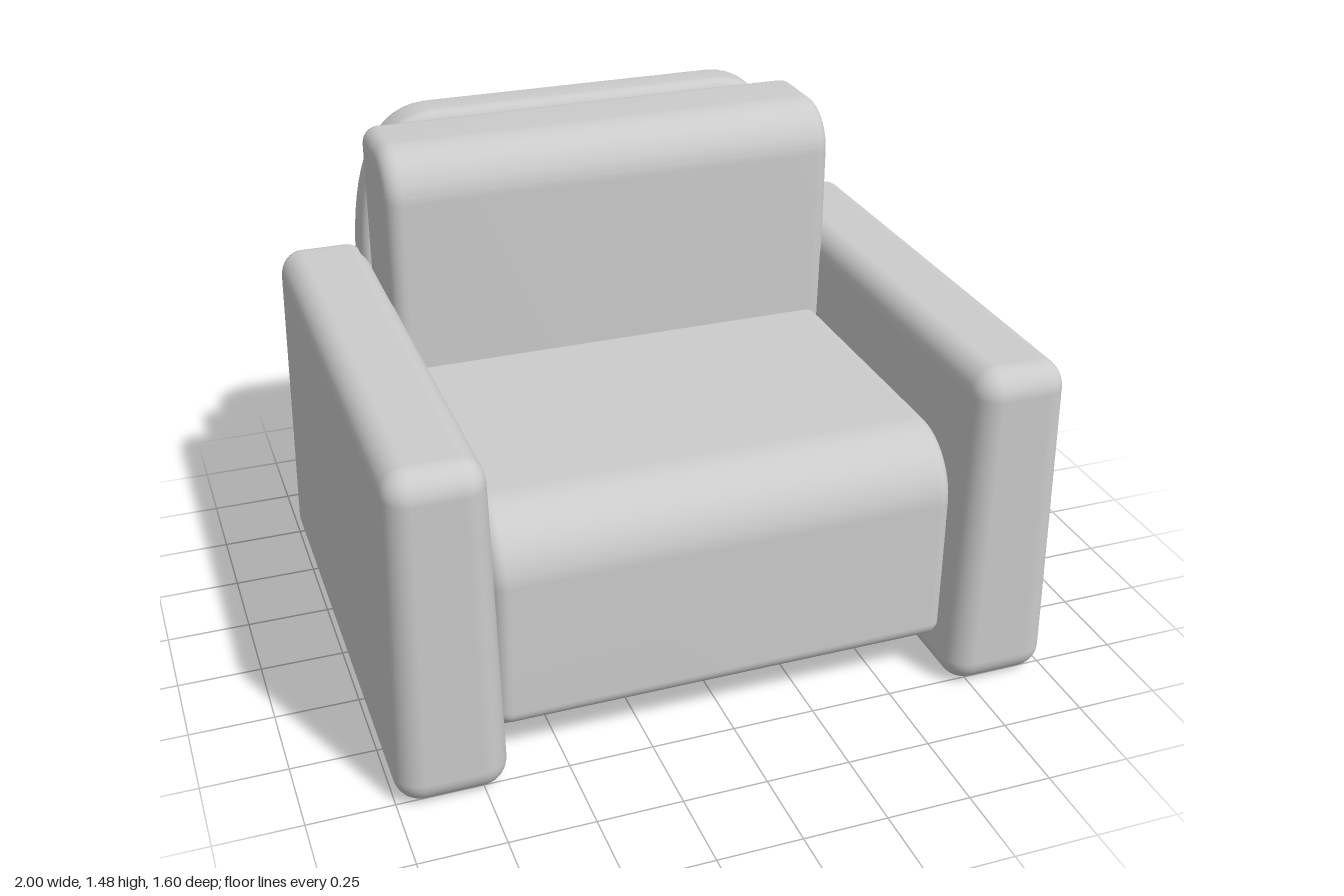
import * as THREE from 'three';
import { toCreasedNormals } from 'three/addons/utils/BufferGeometryUtils.js';
import { RoundedBoxGeometry } from 'three/addons/geometries/RoundedBoxGeometry.js';

const material = new THREE.MeshStandardMaterial({ color: 0xcccccc, side: THREE.DoubleSide });

function addMesh(group, name, geometry) {
  const mesh = new THREE.Mesh(geometry, material);
  mesh.name = name;
  group.add(mesh);
  return mesh;
}

// Extrudes an outline with soft edges, keeping its outer size; centred on z = 0
function softExtrude(shape, thickness, edge) {
  const geometry = new THREE.ExtrudeGeometry(shape, {
    depth: thickness - 2 * edge, curveSegments: 14,
    bevelThickness: edge, bevelSize: edge, bevelOffset: -edge, bevelSegments: 6,
  });
  geometry.translate(0, 0, edge - thickness / 2);
  return toCreasedNormals(geometry, 0.6);
}

// Arm: rounded box that narrows towards the top
function armGeometry() {
  const height = 1.04;
  const geometry = new RoundedBoxGeometry(0.325, height, 1.6, 6, 0.08);
  const p = geometry.attributes.position;
  for (let i = 0; i < p.count; i++) {
    const t = p.getY(i) / height + 0.5;
    p.setX(i, p.getX(i) * (1 - 0.15 * t));
  }
  return geometry.translate(0, height / 2, 0);
}

// Seat: a cover draped over the front, with its side edges rolled in
function seatGeometry() {
  const path = new THREE.Path();
  path.moveTo(-0.66, 0.79);
  path.lineTo(0.5, 0.79);
  path.absarc(0.5, 0.59, 0.2, Math.PI / 2, 0, true);
  path.lineTo(0.7, 0.18);
  path.absarc(0.65, 0.18, 0.05, 0, -Math.PI / 2, true);
  path.lineTo(0.625, 0.13);
  const points = path.getPoints(14).filter((p, i, a) => i === 0 || p.distanceTo(a[i - 1]) > 1e-5);

  // Cross-section: x and depth below the surface
  const section = [];
  const half = 0.69, roll = 0.045, steps = 6;
  for (const side of [-1, 1]) {
    for (let k = 0; k <= steps; k++) {
      const a = (side < 0 ? k : steps - k) / steps * Math.PI / 2;
      section.push([side * (half - roll + roll * Math.cos(a)), roll * (1 - Math.sin(a))]);
    }
  }

  const positions = [], index = [], n = section.length;
  points.forEach((p, i) => {
    const a = points[Math.max(i - 1, 0)], b = points[Math.min(i + 1, points.length - 1)];
    const tangent = b.clone().sub(a).normalize();
    for (const [x, depth] of section) {
      positions.push(x, p.y - tangent.x * depth, p.x + tangent.y * depth);
    }
    if (i === 0) return;
    for (let j = 0; j < n - 1; j++) {
      const u = (i - 1) * n + j, v = i * n + j;
      index.push(u, v, u + 1, v, v + 1, u + 1);
    }
  });
  const geometry = new THREE.BufferGeometry();
  geometry.setAttribute('position', new THREE.Float32BufferAttribute(positions, 3));
  geometry.setIndex(index);
  geometry.computeVertexNormals();
  return geometry;
}

// Back cushion: side profile (z, y) with a generous front top curve
function backCushionGeometry() {
  const front = -0.28, back = -0.637, top = 1.475, bottom = 0.74;
  const s = new THREE.Shape();
  s.moveTo(back, bottom);
  s.lineTo(front, bottom);
  s.lineTo(front, top - 0.15);
  s.absarc(front - 0.15, top - 0.15, 0.15, 0, Math.PI / 2, false);
  s.lineTo(back + 0.06, top);
  s.absarc(back + 0.06, top - 0.06, 0.06, Math.PI / 2, Math.PI, false);
  s.closePath();
  return softExtrude(s, 1.425, 0.05).rotateY(-Math.PI / 2);
}

// Back panel: broad slab with large rounded shoulders
function backPanelGeometry() {
  const w = 0.73, bottom = 0.015, top = 1.478, r = 0.06;
  const s = new THREE.Shape();
  s.moveTo(-w + r, bottom);
  s.lineTo(w - r, bottom);
  s.absarc(w - r, bottom + r, r, -Math.PI / 2, 0, false);
  s.lineTo(w, 1.04);
  s.bezierCurveTo(0.715, 1.28, 0.66, 1.47, 0.48, top);
  s.lineTo(-0.48, top);
  s.bezierCurveTo(-0.66, 1.47, -0.715, 1.28, -w, 1.04);
  s.lineTo(-w, bottom + r);
  s.absarc(-w + r, bottom + r, r, Math.PI, Math.PI * 1.5, false);
  return softExtrude(s, 0.157, 0.04);
}

export function createModel() {
  const group = new THREE.Group();
  group.name = 'armchair';

  const arm = armGeometry();
  for (const [name, side] of [['leftArm', 1], ['rightArm', -1]]) {
    addMesh(group, name, arm).position.x = side * 0.8375;
  }

  addMesh(group, 'seatCushion', seatGeometry());
  addMesh(group, 'backCushion', backCushionGeometry());
  addMesh(group, 'backPanel', backPanelGeometry()).position.z = -0.718;

  // Thin board behind the front of the seat
  addMesh(group, 'frontBoard', new THREE.BoxGeometry(1.34, 0.53, 0.02)).position.set(0, 0.38, 0.63);

  return group;
}
